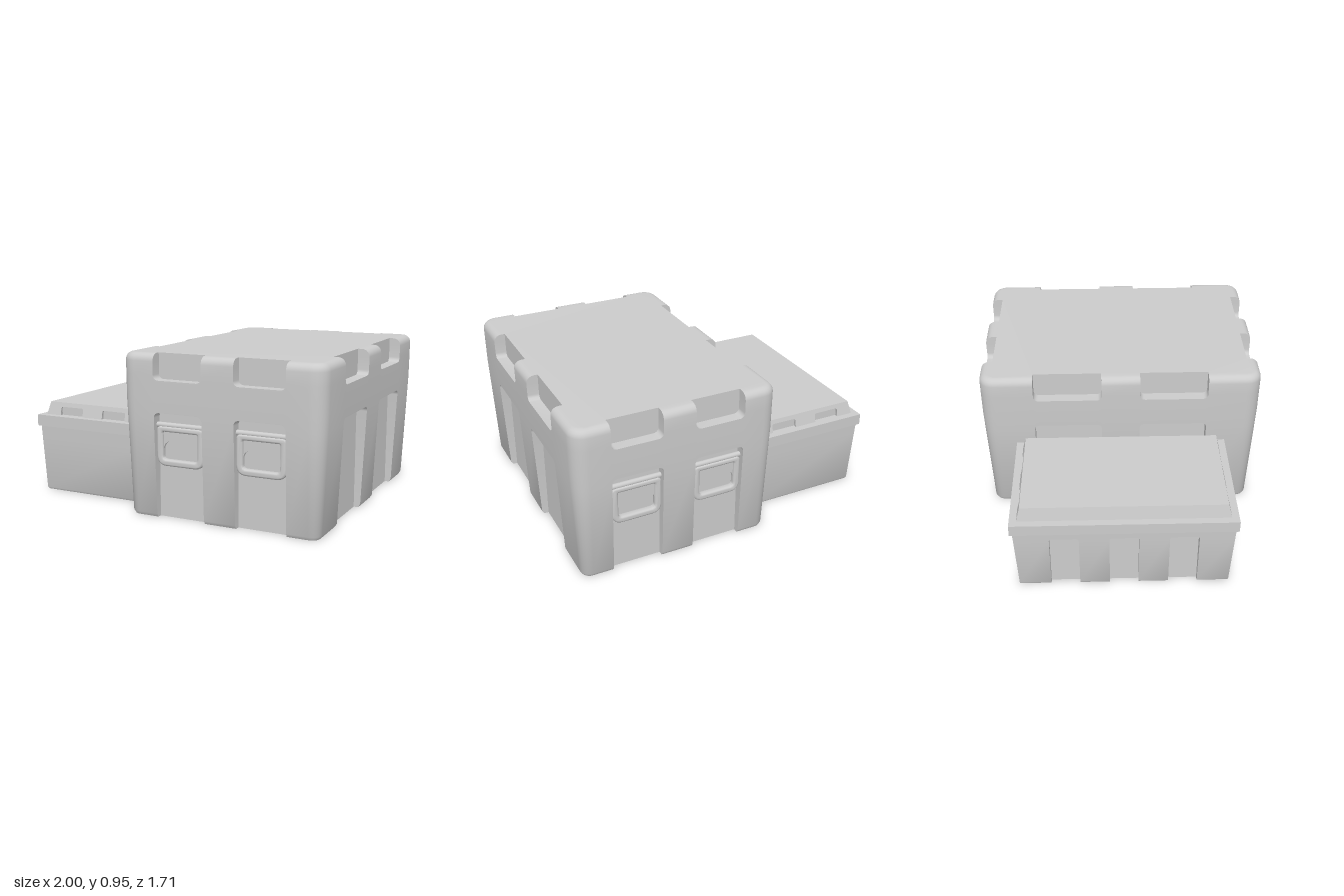
import * as THREE from 'three';
import { toCreasedNormals } from 'three/addons/utils/BufferGeometryUtils.js';

const grey = new THREE.MeshStandardMaterial({ color: 0xcccccc, side: THREE.DoubleSide });

function add(parent, name, geometry) {
  const mesh = new THREE.Mesh(geometry, grey);
  mesh.name = name;
  parent.add(mesh);
  return mesh;
}

// Inset of the wall at height y, from a profile of [y, inset] rows
function insetAt(profile, y) {
  for (let i = 1; i < profile.length; i++) {
    const [y0, s0] = profile[i - 1], [y1, s1] = profile[i];
    if (y <= y1) return s0 + (s1 - s0) * (y - y0) / (y1 - y0 || 1);
  }
  return profile[profile.length - 1][1];
}

// Four-sided moulded shell, open below, with pockets pressed into its walls.
// low: top of the pockets that open downwards; high: bottom of those that open upwards.
// pocketsX / pocketsZ: [centre, half width] on the z-facing and x-facing walls.
function shell({ hx, hz, r = 0, profile, low, high, depth = 0, er = 0.03, pocketsX = [], pocketsZ = [], cap = true }) {
  const pos = [], outline = [];
  const quad = (a, b, c, d) => [a, b, c, a, c, d].forEach(p => pos.push(p.x, p.y, p.z));
  const hasLow = low !== undefined, hasHigh = high !== undefined;
  const lowMin = hasLow ? low - er : -1, highMax = hasHigh ? high + er : 9;
  const below = hasLow ? profile.filter(p => p[0] < lowMin) : [];
  const above = hasHigh ? profile.filter(p => p[0] > highMax) : [];
  const middle = profile.filter(p => p[0] > (hasLow ? low : -1) && p[0] < (hasHigh ? high : 9));
  const top = profile[profile.length - 1], base = profile[0][0];

  for (let k = 0; k < 4; k++) {
    const L = k % 2 ? hz : hx, D = k % 2 ? hx : hz, a = k * Math.PI / 2;
    const cos = Math.round(Math.cos(a)), sin = Math.round(Math.sin(a));
    const at = (c, y, s) => {
      const u = c.u - s * c.du, d = c.d - s * c.dd;
      return new THREE.Vector3(cos * u + sin * d, y, -sin * u + cos * d);
    };
    // columns along the wall, then round the corner
    const cols = [];
    const flat = (u, lift = 0, edge = '') => cols.push({ u, d: D, du: 0, dd: 1, lift, edge });
    flat(-(L - r));
    if (!r) cols[0].du = -1;
    for (const [c, w] of k % 2 ? pocketsZ : pocketsX) {
      const n = 5;
      for (let i = 0; i <= n; i++) {
        const t = i / n * Math.PI / 2;
        flat(c - w + er * (1 - Math.cos(t)), er * Math.sin(t), i ? 'in' : 'start');
      }
      for (let i = n; i >= 0; i--) {
        const t = i / n * Math.PI / 2;
        flat(c + w - er * (1 - Math.cos(t)), er * Math.sin(t), i ? 'in' : 'end');
      }
    }
    flat(L - r);
    if (!r) cols[cols.length - 1].du = 1;
    else for (let i = 1; i <= 6; i++) {
      const t = i / 6 * Math.PI / 2, du = Math.sin(t), dd = Math.cos(t);
      cols.push({ u: L - r + r * du, d: D - r + r * dd, du, dd, lift: 0, edge: '' });
    }

    for (const c of cols) {
      c.low = lowMin + c.lift;
      c.high = highMax - c.lift;
      const rows = [...below];
      if (hasLow) rows.push([c.low, insetAt(profile, c.low)]);
      rows.push(...middle);
      if (hasHigh) rows.push([c.high, insetAt(profile, c.high)]);
      rows.push(...above);
      c.out = rows.map(([y, s]) => at(c, y, s));
      c.back = rows.map(([y]) => at(c, y, depth));
      const o = c.out[c.out.length - 1], b = c.back[c.back.length - 1];
      if (!hasHigh || !c.edge) outline.push(o);
      else outline.push(...(c.edge === 'start' ? [o, b] : c.edge === 'end' ? [b, o] : [b]));
    }

    const iL = below.length, last = cols[0].out.length - 1;
    const iH = hasHigh ? last - above.length : last;
    cols.forEach((c, j) => {
      // side walls of the pockets
      if (c.edge === 'start' || c.edge === 'end') {
        const [p, q] = c.edge === 'start' ? [c.out, c.back] : [c.back, c.out];
        for (let i = 0; i < last; i++)
          if ((hasLow && i < iL) || (hasHigh && i >= iH)) quad(p[i], q[i], q[i + 1], p[i + 1]);
      }
      const e = cols[j + 1];
      if (!e) return;
      const pocket = c.edge === 'start' || c.edge === 'in';
      for (let i = pocket && hasLow ? iL : 0; i < (pocket ? iH : last); i++)
        quad(c.out[i], e.out[i], e.out[i + 1], c.out[i + 1]);
      // back and ledge of the pockets
      if (pocket && hasLow) {
        quad(at(c, base, depth), at(e, base, depth), e.back[iL], c.back[iL]);
        quad(c.back[iL], e.back[iL], e.out[iL], c.out[iL]);
      }
      if (pocket && hasHigh) {
        quad(c.out[iH], e.out[iH], e.back[iH], c.back[iH]);
        quad(c.back[iH], e.back[iH], e.back[last], c.back[last]);
      }
    });
  }

  if (cap) {
    const pts = outline.filter((p, i) => p.distanceTo(outline[(i + 1) % outline.length]) > 1e-5);
    const lid = new THREE.ShapeGeometry(new THREE.Shape(pts.map(p => new THREE.Vector2(p.x, -p.z))));
    pos.push(...lid.rotateX(-Math.PI / 2).translate(0, top[0], 0).toNonIndexed().attributes.position.array);
  }
  const g = new THREE.BufferGeometry();
  g.setAttribute('position', new THREE.Float32BufferAttribute(pos, 3));
  return toCreasedNormals(g, 0.6);
}

// Rectangle with separate rounding at the top and bottom corners
function roundRect(path, w, y0, y1, rb, rt) {
  path.moveTo(-w + rb, y0).lineTo(w - rb, y0).quadraticCurveTo(w, y0, w, y0 + rb);
  path.lineTo(w, y1 - rt).quadraticCurveTo(w, y1, w - rt, y1);
  path.lineTo(-w + rt, y1).quadraticCurveTo(-w, y1, -w, y1 - rt);
  path.lineTo(-w, y0 + rb).quadraticCurveTo(-w, y0, -w + rb, y0);
  return path;
}

function makeHandle() {
  const handle = new THREE.Group();
  handle.name = 'handle';
  // raised bail with rounded lower corners
  const frame = roundRect(new THREE.Shape(), 0.138, 0.322, 0.53, 0.05, 0.015);
  frame.holes.push(roundRect(new THREE.Path(), 0.122, 0.338, 0.52, 0.035, 0.02));
  const bail = new THREE.ExtrudeGeometry(frame, {
    depth: 0.02, bevelSize: 0.011, bevelThickness: 0.011, bevelSegments: 3, curveSegments: 8 });
  add(handle, 'bail', toCreasedNormals(bail, 0.7)).position.z = 0.796;
  // web with an arched lower edge
  const web = new THREE.Shape();
  web.moveTo(-0.125, 0.40).lineTo(-0.112, 0.40).quadraticCurveTo(-0.11, 0.458, -0.04, 0.46);
  web.lineTo(0.04, 0.46).quadraticCurveTo(0.11, 0.458, 0.112, 0.40).lineTo(0.125, 0.40);
  web.lineTo(0.125, 0.53).lineTo(-0.125, 0.53);
  add(handle, 'web', toCreasedNormals(new THREE.ExtrudeGeometry(web, { depth: 0.015, bevelEnabled: false }), 0.6)).position.z = 0.796;
  // hinge bar across the pocket
  const hinge = add(handle, 'hinge', new THREE.CylinderGeometry(0.016, 0.016, 0.304, 16).rotateZ(Math.PI / 2));
  hinge.position.set(0, 0.546, 0.805);
  return handle;
}

export function createModel() {
  const model = new THREE.Group();

  // Large case: tapered walls and a rounded top edge
  const large = new THREE.Group();
  large.name = 'largeCase';
  large.position.x = 0.381;
  model.add(large);
  const profile = [[0, 0.042], [0.02, 0.03], [0.68, 0.002], [0.91, 0]];
  for (let i = 1; i <= 5; i++) {
    const t = i / 5 * Math.PI / 2;
    profile.push([0.91 + 0.045 * Math.sin(t), 0.045 * (1 - Math.cos(t))]);
  }
  add(large, 'largeShell', shell({
    hx: 0.617, hz: 0.855, r: 0.09, profile, low: 0.62, high: 0.805, depth: 0.07,
    pocketsX: [[-0.25, 0.152], [0.25, 0.152]], pocketsZ: [[-0.324, 0.207], [0.324, 0.207]] }));
  for (const turn of [0, Math.PI]) {
    const pair = new THREE.Group();
    pair.name = turn ? 'backHandles' : 'frontHandles';
    pair.rotation.y = turn;
    for (const x of [-0.25, 0.25]) {
      const handle = makeHandle();
      handle.position.x = x;
      pair.add(handle);
    }
    large.add(pair);
  }

  // Small case: ribbed long walls, overhanging rim and raised lid
  const small = new THREE.Group();
  small.name = 'smallCase';
  small.position.x = -0.615;
  model.add(small);
  add(small, 'smallBody', shell({
    hx: 0.37, hz: 0.635, profile: [[0, 0.025], [0.012, 0.018], [0.42, 0]],
    low: 0.37, depth: 0.05, er: 0.015, cap: false,
    pocketsZ: [[-0.345, 0.085], [0, 0.085], [0.345, 0.085]] }));
  add(small, 'rim', shell({
    hx: 0.385, hz: 0.65, cap: false,
    profile: [[0.42, 0.015], [0.42, 0], [0.49, 0], [0.49, 0.065]] }));
  add(small, 'lid', shell({
    hx: 0.343, hz: 0.608, profile: [[0.49, 0], [0.57, 0.02]],
    low: 0.543, depth: 0.022, er: 0.012, pocketsX: [[-0.155, 0.083], [0.155, 0.083]] }));

  return model;
}
